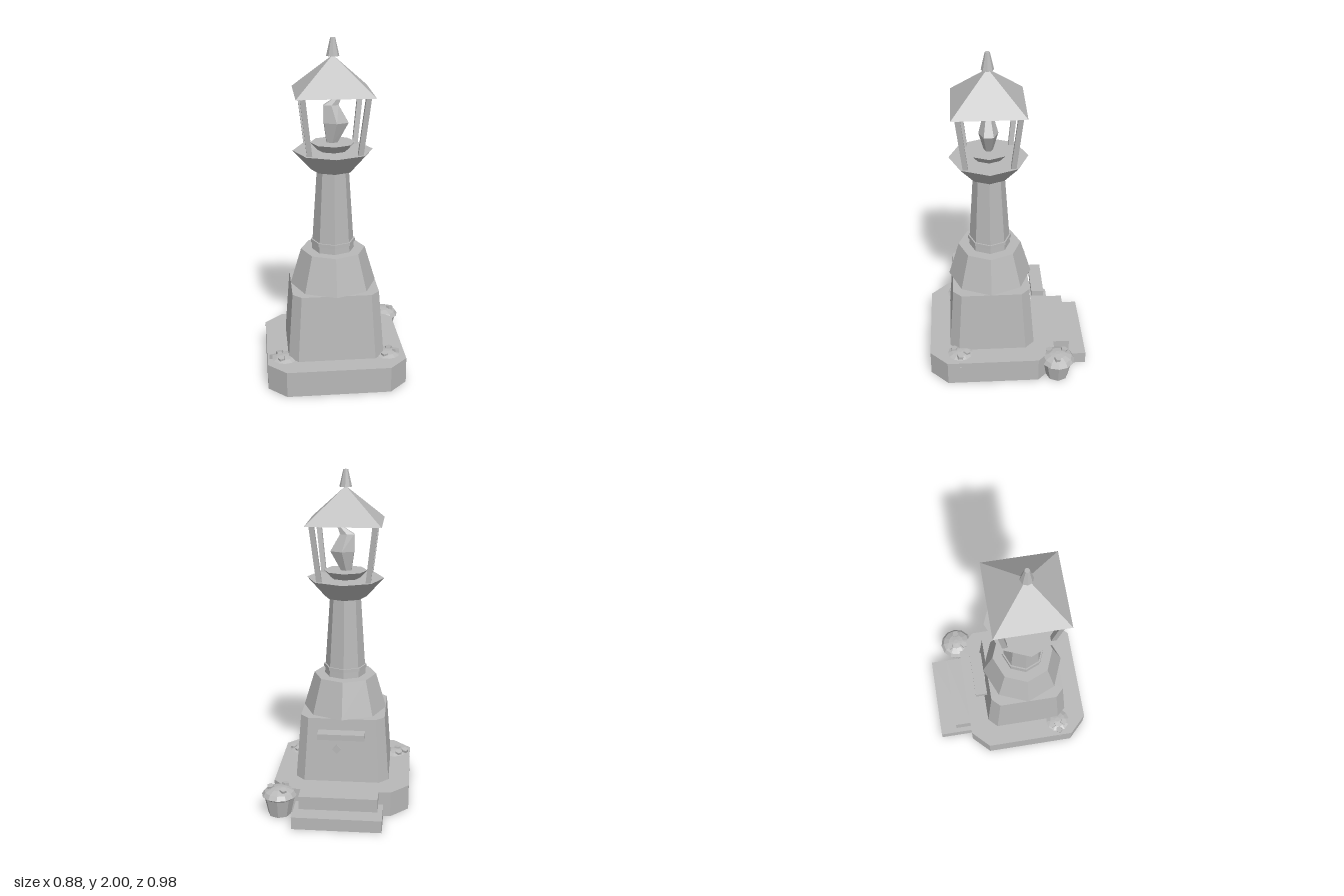
import * as THREE from 'three';

const stone = new THREE.MeshStandardMaterial({ color: 0xb8b8b8, flatShading: true, side: THREE.DoubleSide });
stone.name = 'stone grey';

// Lofts a list of rings (each a loop of [x, y, z]) with optional end caps
function loft(rings, capBottom = true, capTop = true) {
  const pos = [];
  const tri = (a, b, c) => pos.push(...a, ...b, ...c);
  const middle = (ring) => [0, 1, 2].map((k) => ring.reduce((s, p) => s + p[k], 0) / ring.length);
  const n = rings[0].length;
  const first = rings[0], last = rings[rings.length - 1];
  for (let i = 0; i < n; i++) {
    const j = (i + 1) % n;
    for (let r = 0; r < rings.length - 1; r++) {
      const lo = rings[r], hi = rings[r + 1];
      tri(lo[i], lo[j], hi[j]);
      tri(lo[i], hi[j], hi[i]);
    }
    if (capBottom) tri(middle(first), first[j], first[i]);
    if (capTop) tri(middle(last), last[i], last[j]);
  }
  const g = new THREE.BufferGeometry();
  g.setAttribute('position', new THREE.Float32BufferAttribute(pos, 3));
  g.computeVertexNormals();
  return g;
}

// Rectangle with cut corners, at height y
function cutRect(hx, hz, c, y) {
  return [[hx - c, hz], [hx, hz - c], [hx, c - hz], [hx - c, -hz],
    [c - hx, -hz], [-hx, c - hz], [-hx, hz - c], [c - hx, hz]].map(([x, z]) => [x, y, z]);
}

// Oval ring with n corners, shifted by cx
function oval(n, rx, rz, y, cx = 0) {
  return Array.from({ length: n }, (_, i) => {
    const a = (i / n) * Math.PI * 2;
    return [cx + rx * Math.sin(a), y, rz * Math.cos(a)];
  });
}

function add(parent, name, geometry, x = 0, y = 0, z = 0) {
  const mesh = new THREE.Mesh(geometry, stone);
  mesh.name = name;
  mesh.position.set(x, y, z);
  parent.add(mesh);
  return mesh;
}

// Round tapered part from y0 to y1
function taper(parent, name, r0, y0, r1, y1, sides = 8) {
  return add(parent, name, new THREE.CylinderGeometry(r1, r0, y1 - y0, sides), 0, (y0 + y1) / 2, 0);
}

// Box given by its limits
function block(parent, name, x0, x1, y0, y1, z0, z1) {
  return add(parent, name, new THREE.BoxGeometry(x1 - x0, y1 - y0, z1 - z0),
    (x0 + x1) / 2, (y0 + y1) / 2, (z0 + z1) / 2);
}

function pottedBush(x, z, blossoms) {
  const pot = new THREE.Group();
  pot.name = 'pottedBush';
  pot.position.set(x, 0, z);
  taper(pot, 'pot', 0.068, 0, 0.093, 0.115);
  const profile = [[0.09, 0.112], [0.105, 0.125], [0.088, 0.15], [0.05, 0.167], [0.015, 0.172]];
  add(pot, 'bush', loft(profile.map(([r, y]) => oval(12, r, r, y))));
  for (const [bx, bz] of blossoms) {
    const b = taper(pot, 'blossom', 0.022, 0.155, 0.022, 0.178, 5);
    b.position.x = bx;
    b.position.z = bz;
    b.rotation.set(bz * 4, bx * 20, -bx * 4);
  }
  return pot;
}

export function createModel() {
  const model = new THREE.Group();
  model.name = 'lampTower';

  // Everything on the tower axis
  const tower = new THREE.Group();
  tower.name = 'tower';
  tower.position.set(-0.03, 0, 0.1);
  model.add(tower);

  // Hollow base plate, open underneath
  add(tower, 'basePlate', loft([cutRect(0.408, 0.385, 0.106, 0), cutRect(0.408, 0.385, 0.106, 0.155)], false, true));

  // Body, shoulder and column
  add(tower, 'body', loft([cutRect(0.282, 0.262, 0.055, 0.155), cutRect(0.253, 0.231, 0.05, 0.55)], false, true));
  taper(tower, 'shoulder', 0.254, 0.55, 0.19, 0.765);
  taper(tower, 'column', 0.125, 0.765, 0.093, 1.25);
  taper(tower, 'collar', 0.131, 0.805, 0.13, 0.825);

  // Tray and dish under the flame
  taper(tower, 'tray', 0.125, 1.25, 0.231, 1.365);
  taper(tower, 'dish', 0.088, 1.365, 0.13, 1.41);

  // Crooked flame
  add(tower, 'flame', loft([
    oval(6, 0.036, 0.028, 1.41, -0.005),
    oval(6, 0.08, 0.057, 1.525, 0.018),
    oval(6, 0.048, 0.028, 1.625, -0.01),
    oval(6, 0.002, 0.002, 1.695, 0.057),
  ]));

  // Four leaning lantern posts
  const w = 0.015;
  for (const sx of [-1, 1]) {
    for (const sz of [-1, 1]) {
      const ring = (cx, cz, y) => [[w, w], [w, -w], [-w, -w], [-w, w]].map(([x, z]) => [sx * cx + x, y, sz * cz + z]);
      add(tower, 'lanternPost', loft([ring(0.143, 0.136, 1.36), ring(0.182, 0.175, 1.705)]));
    }
  }

  // Pyramid roof and finial
  const eave = [[0.22, 0.21], [0.22, -0.21], [-0.22, -0.21], [-0.22, 0.21]].map(([x, z]) => [x, 1.697, z]);
  add(tower, 'roof', loft([eave, eave.map(() => [0, 1.905, 0])], true, false));
  taper(tower, 'finial', 0.037, 1.9, 0.014, 2.0);

  // Steps at the back
  block(model, 'lowerStep', -0.29, 0.235, 0, 0.075, -0.49, -0.285);
  block(model, 'upperStep', -0.26, 0.205, 0, 0.155, -0.385, -0.28);

  // Door canopy and small diamond plate
  block(model, 'canopy', -0.17, 0.11, 0.45, 0.485, -0.224, -0.15);
  const diamond = block(model, 'diamondPlate', -0.02, 0.02, 0.34, 0.38, -0.152, -0.144);
  diamond.rotation.z = Math.PI / 4;

  // Potted bushes, the front pair sunk into the plate
  model.add(
    pottedBush(0.33, -0.3, [[-0.03, -0.043], [0.053, 0.005], [-0.03, 0.05]]),
    pottedBush(0.275, 0.3, [[0.015, -0.04], [0.052, 0], [-0.02, 0.037]]),
    pottedBush(-0.335, 0.3, [[-0.03, -0.04], [-0.07, 0], [-0.02, 0.037]]),
  );
  return model;
}
